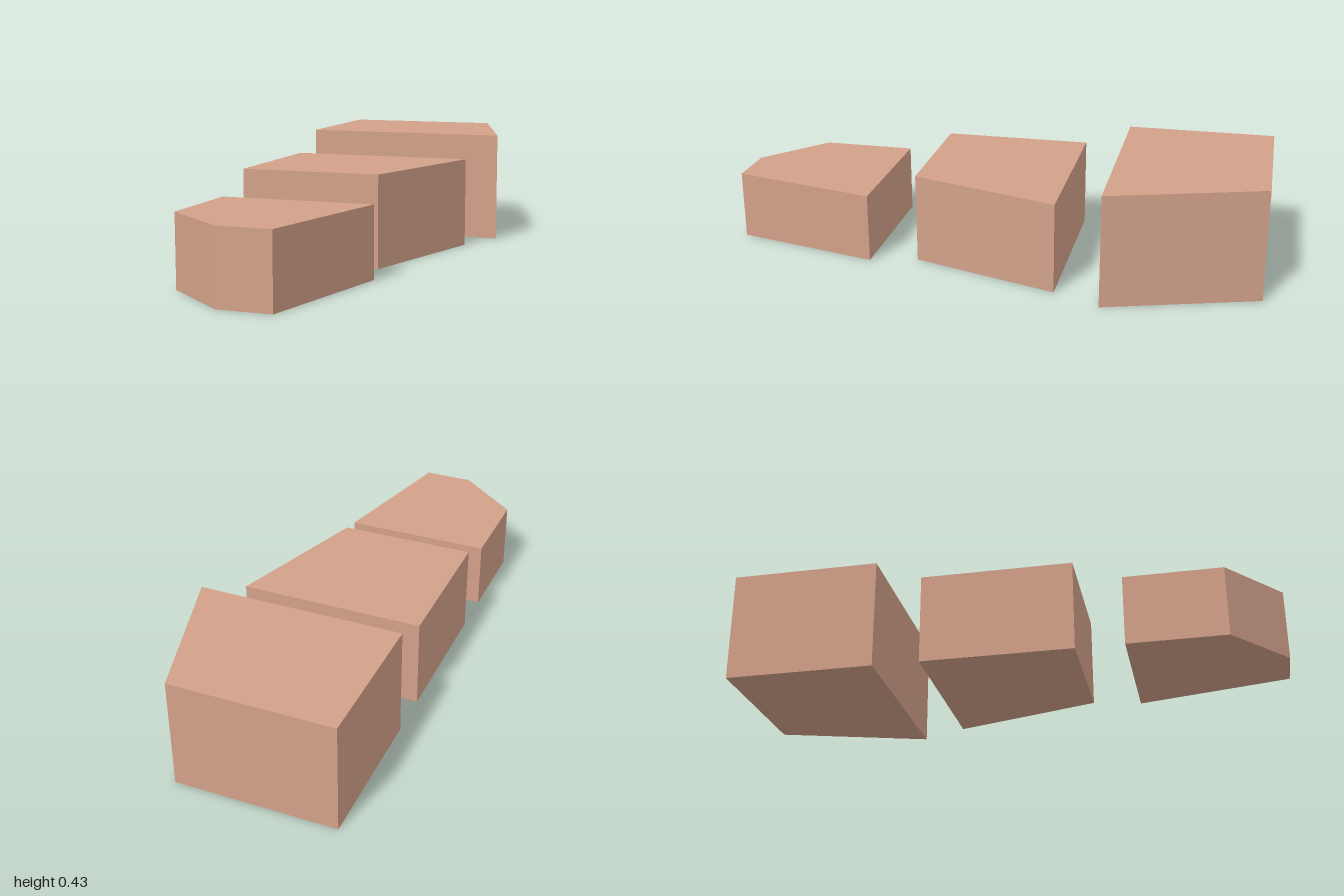
import * as THREE from 'three';

// Upright prism from a ground plan of [x, z] corners.
function prism(name, plan, height, material) {
  const shape = new THREE.Shape(plan.map(([x, z]) => new THREE.Vector2(x, -z)));
  const geometry = new THREE.ExtrudeGeometry(shape, { depth: height, bevelEnabled: false });
  geometry.rotateX(-Math.PI / 2);
  const mesh = new THREE.Mesh(geometry, material);
  mesh.name = name;
  return mesh;
}

export function createModel() {
  const group = new THREE.Group();
  group.name = 'steppedBlocks';
  const clay = new THREE.MeshStandardMaterial({ color: 0xd2a18a });
  clay.name = 'clay';

  // Three blocks in a diagonal row, rising towards the back.
  group.add(
    prism('lowFrontBlock',
      [[-0.565, 0.277], [-0.76, 0.587], [-0.66, 0.892], [-0.495, 0.995], [-0.078, 0.58]], 0.266, clay),
    prism('middleBlock',
      [[-0.167, -0.363], [-0.47, 0.125], [-0.02, 0.403], [0.433, 0.012]], 0.346, clay),
    prism('tallBackBlock',
      [[0.23, -1], [-0.073, -0.515], [0.602, -0.095], [0.755, -0.675]], 0.427, clay),
  );
  return group;
}
